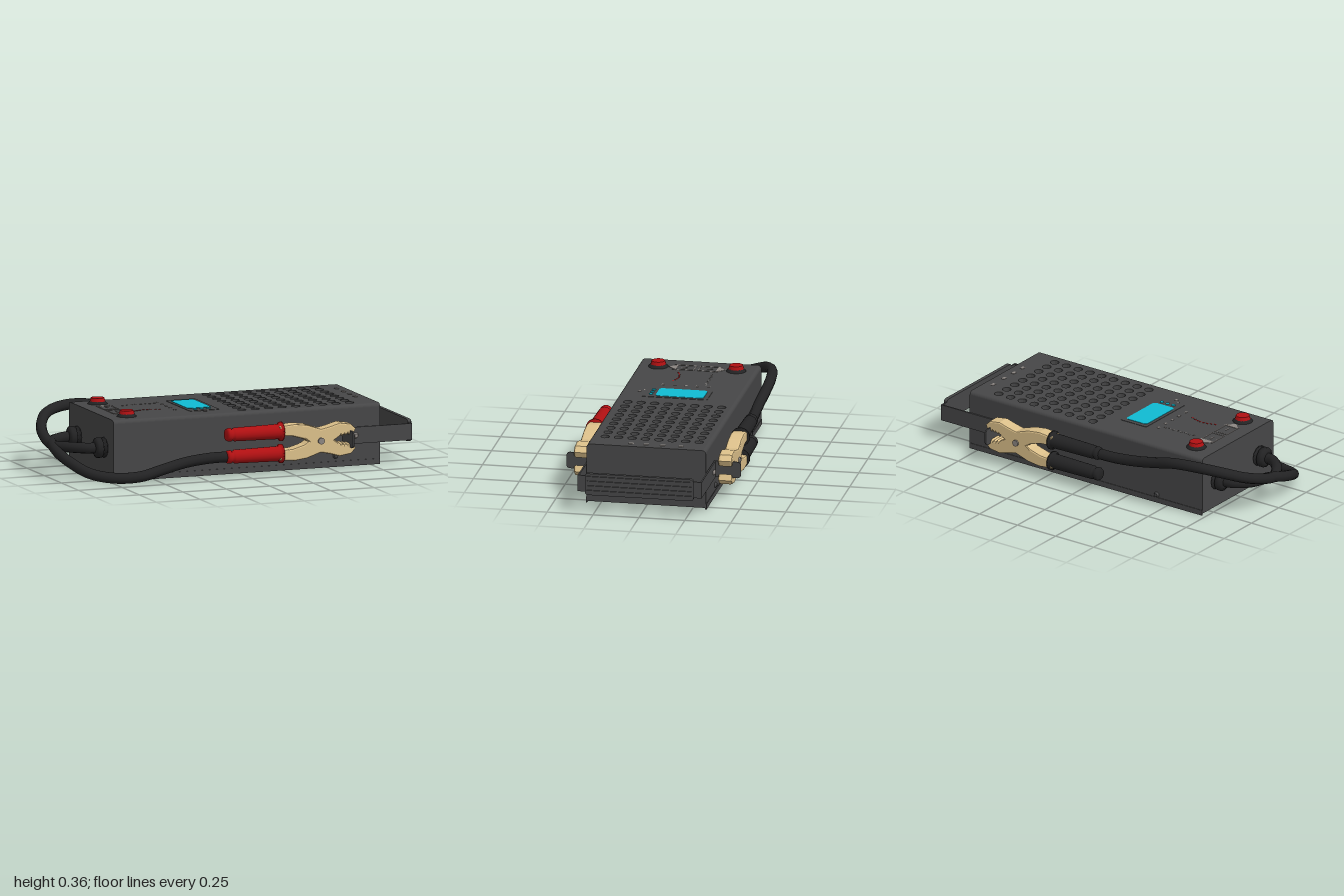
import * as THREE from 'three';

const mat = (name, color, side = THREE.FrontSide) => {
  const m = new THREE.MeshStandardMaterial({ color, side });
  m.name = name;
  return m;
};

export function createModel() {
  const steel = mat('dark grey steel', 0x464647);
  const black = mat('black rubber', 0x232324);
  const red = mat('red plastic', 0xb01012);
  const gold = mat('brass', 0xdcc08a);
  const cyan = mat('cyan display', 0x10bbd2);
  const grey = mat('light grey', 0x8c8682);

  const root = new THREE.Group();
  root.name = 'loadTester';

  const add = (parent, name, geo, material, x = 0, y = 0, z = 0) => {
    const mesh = new THREE.Mesh(geo, material);
    mesh.name = name;
    mesh.position.set(x, y, z);
    parent.add(mesh);
    return mesh;
  };
  const box = (parent, name, m, w, h, d, x, y, z) =>
    add(parent, name, new THREE.BoxGeometry(w, h, d), m, x, y, z);
  const roundRect = (w, h, r) => {
    const s = new THREE.Shape();
    const a = w / 2, b = h / 2;
    s.absarc(a - r, b - r, r, 0, Math.PI / 2);
    s.absarc(-a + r, b - r, r, Math.PI / 2, Math.PI);
    s.absarc(-a + r, -b + r, r, Math.PI, Math.PI * 1.5);
    s.absarc(a - r, -b + r, r, Math.PI * 1.5, Math.PI * 2);
    s.closePath();
    return s;
  };
  const extrude = (shape, depth, opts = {}) =>
    new THREE.ExtrudeGeometry(shape, { depth, bevelEnabled: false, curveSegments: 6, ...opts });
  const flat = (shape, h) => extrude(shape, h).rotateX(-Math.PI / 2);
  // solid of revolution along x, from [radius, x] pairs
  const turned = (pts, seg = 20) =>
    new THREE.LatheGeometry(pts.map(([r, x]) => new THREE.Vector2(r, x)), seg).rotateZ(-Math.PI / 2);

  // Case: cross-section with rounded shoulders and a recess for the lid
  const cs = new THREE.Shape();
  cs.moveTo(-0.325, 0.01);
  cs.lineTo(0.325, 0.01);
  cs.lineTo(0.325, 0.31);
  cs.absarc(0.305, 0.31, 0.02, 0, Math.PI / 2);
  cs.lineTo(0.305, 0.3);
  cs.lineTo(-0.305, 0.3);
  cs.lineTo(-0.305, 0.33);
  cs.absarc(-0.305, 0.31, 0.02, Math.PI / 2, Math.PI);
  cs.closePath();
  add(root, 'case', extrude(cs, 1.53).rotateY(Math.PI / 2), steel, -0.73);
  for (const s of [-1, 1]) box(root, 'caseLip', steel, 1.53, 0.03, 0.006, 0.035, 0.015, s * 0.325);

  // Lid with ventilation holes
  const lid = new THREE.Shape();
  lid.moveTo(-0.73, -0.305);
  lid.lineTo(0.8, -0.305);
  lid.lineTo(0.8, 0.305);
  lid.lineTo(-0.73, 0.305);
  lid.closePath();
  for (let i = 0; i < 9; i++)
    for (let j = 0; j < 8; j++) {
      const hole = new THREE.Path();
      hole.absarc(0.035 + i * 0.0775, 0.26 - j * 0.073, 0.024, 0, Math.PI * 2, true);
      lid.holes.push(hole);
    }
  add(root, 'ventedLid', flat(lid, 0.03), steel, 0, 0.3, 0);
  box(root, 'ventBacking', grey, 0.72, 0.004, 0.6, 0.345, 0.302, 0);

  // Display and indicator lamps
  add(root, 'displayFrame', flat(roundRect(0.17, 0.36, 0.012), 0.002), steel, -0.157, 0.33, 0.02);
  add(root, 'display', flat(roundRect(0.135, 0.262, 0.02), 0.004), cyan, -0.157, 0.33, -0.004);
  for (let i = 0; i < 3; i++)
    add(root, 'indicator', new THREE.CylinderGeometry(0.011, 0.011, 0.005, 10), cyan, -0.195 + i * 0.038, 0.333, 0.155);

  // Push buttons
  for (const s of [-1, 1]) {
    add(root, 'buttonBase', new THREE.CylinderGeometry(0.04, 0.054, 0.016, 20), black, -0.61, 0.338, s * 0.212);
    add(root, 'button', new THREE.CylinderGeometry(0.036, 0.042, 0.02, 16), red, -0.61, 0.353, s * 0.212);
  }

  // Printed marks on the lid
  const mark = (m, x, z, w, d) => box(root, 'printedMark', m, w, 0.002, d, x, 0.331, z);
  for (const s of [-1, 1]) {
    const tri = new THREE.Shape([[-0.045, 0], [0.045, 0], [0, 0.045]].map(p => new THREE.Vector2(...p)));
    const arrow = add(root, 'printedArrow', flat(tri, 0.002), grey, -0.61, 0.33, s * 0.108);
    if (s > 0) arrow.rotation.y = Math.PI;
    for (const e of [-1, 1]) mark(grey, -0.61 + e * 0.039, s * 0.07, 0.004, 0.12);
    mark(grey, -0.61, s * 0.012, 0.08, 0.004);
    mark(grey, -0.61, s * 0.07, 0.006, 0.03);
  }
  for (let i = 0; i < 8; i++) {
    mark(red, -0.52 + i * 0.021, 0.085 - Math.sin(i / 7 * Math.PI) * 0.018, 0.012, 0.006);
    mark(grey, -0.51 + i * 0.026, i % 2 ? -0.104 : -0.098, 0.012, 0.005);
  }
  for (const z of [-0.125, -0.06, 0, 0.06, 0.125]) mark(grey, -0.3, z, 0.012, 0.016);
  for (const z of [-0.18, -0.08, 0.01, 0.09]) mark(grey, 0.75, z, 0.018, 0.026);
  for (const z of [0.2, 0.225]) mark(grey, -0.19 + (z - 0.2), z, 0.018, 0.014);

  // Screws on the sides and underside, plus underside marks
  for (const s of [-1, 1])
    for (const [x, y] of [[-0.43, 0.045], [0.545, 0.06], [0.655, 0.165]])
      add(root, 'sideScrew', new THREE.CylinderGeometry(0.01, 0.016, 0.012, 12).rotateX(s * Math.PI / 2),
        x > 0.6 ? grey : steel, x, y, s * (x > 0.6 ? 0.345 : 0.331));
  for (const x of [-0.6, 0.2, 0.68])
    for (const z of [-0.22, 0.22])
      add(root, 'baseScrew', new THREE.CylinderGeometry(0.016, 0.01, 0.008, 12), steel, x, 0.007, z);
  for (let i = 0; i < 6; i++)
    for (let j = 0; j < 3; j++)
      box(root, 'baseMark', grey, 0.012, 0.002, 0.02, -0.55 + j * 0.06, 0.0095, -0.13 + i * 0.05);

  // Carry handle: bent strip whose outer tabs hold the clamps
  for (const s of [-1, 1]) {
    box(root, 'handleArm', steel, 0.39, 0.09, 0.008, 0.785, 0.165, s * 0.334);
    add(root, 'clampTab', extrude(roundRect(0.15, 0.09, 0.02), 0.008).rotateY(Math.PI / 2),
      steel, 0.586, 0.165, s * 0.4);
  }
  box(root, 'handleBar', steel, 0.008, 0.09, 0.668, 0.976, 0.165, 0);
  add(root, 'handleGrip', extrude(roundRect(0.59, 0.12, 0.015), 0.02).rotateY(Math.PI / 2), steel, 0.971, 0.165, 0);
  for (let i = 0; i < 4; i++)
    box(root, 'gripRib', steel, 0.01, 0.014, 0.57, 0.993, 0.126 + i * 0.026, 0);

  // Clamp outline: upper half, then mirrored
  const half = [[0.36, 0], [0.33, 0.022], [0.26, 0.042], [0.19, 0.046], [0.19, 0.085], [0.27, 0.092],
    [0.34, 0.083], [0.42, 0.056], [0.47, 0.066], [0.53, 0.083], [0.59, 0.074], [0.612, 0.052], [0.605, 0.033]];
  for (let i = 0; i < 4; i++) half.push([0.594 - i * 0.02, 0.046 - i * 0.003], [0.584 - i * 0.02, 0.034 - i * 0.003]);
  half.push([0.49, 0]);
  const outline = [...half, ...half.slice(1, -1).reverse().map(([x, y]) => [x, -y])];
  const jawShape = new THREE.Shape(outline.map(p => new THREE.Vector2(...p)));
  const jawGeo = extrude(jawShape, 0.052, { bevelEnabled: true, bevelSize: 0.008, bevelThickness: 0.012, bevelSegments: 2 });

  // Lead: gland, crossing cable and clamp, centred on the lead's own axis
  const lead = (name, gripMat) => {
    const g = new THREE.Group();
    g.name = name;
    add(g, 'cableGland', turned([[0, -0.79], [0.036, -0.79], [0.042, -0.783], [0.055, -0.778], [0.055, -0.752],
      [0.042, -0.75], [0.042, -0.74], [0.055, -0.738], [0.055, -0.728], [0, -0.728]], 12), black, 0, 0, -0.192);
    const path = new THREE.CatmullRomCurve3([
      [-0.74, 0, -0.192], [-0.82, 0, -0.185], [-0.9, 0, -0.12], [-0.95, 0.005, -0.02], [-0.962, -0.025, 0.09],
      [-0.93, -0.07, 0.22], [-0.86, -0.115, 0.32], [-0.74, -0.137, 0.38], [-0.6, -0.133, 0.402],
      [-0.48, -0.105, 0.398], [-0.34, -0.075, 0.39], [-0.2, -0.06, 0.392], [-0.08, -0.059, 0.395],
    ].map(p => new THREE.Vector3(...p)));
    add(g, 'cable', new THREE.TubeGeometry(path, 64, 0.029, 10), black);
    for (const s of [-1, 1])
      add(g, 'clampGrip', turned([[0, -0.112], [0.03, -0.112], [0.036, -0.1], [0.036, -0.085], [0.031, -0.082],
        [0.032, -0.07], [0.037, -0.065], [0.041, 0.192], [0.052, 0.195], [0.052, 0.208], [0, 0.208]]),
        gripMat, 0, s * 0.06, 0.395);
    add(g, 'clampJaws', jawGeo, gold, 0, 0, 0.367);
    add(g, 'clampPivot', new THREE.CylinderGeometry(0.018, 0.018, 0.094, 12).rotateX(Math.PI / 2), grey, 0.42, 0, 0.393);
    g.position.y = 0.165;
    root.add(g);
    return g;
  };
  lead('frontLead', red);
  lead('backLead', black).rotation.x = Math.PI;

  return root;
}
